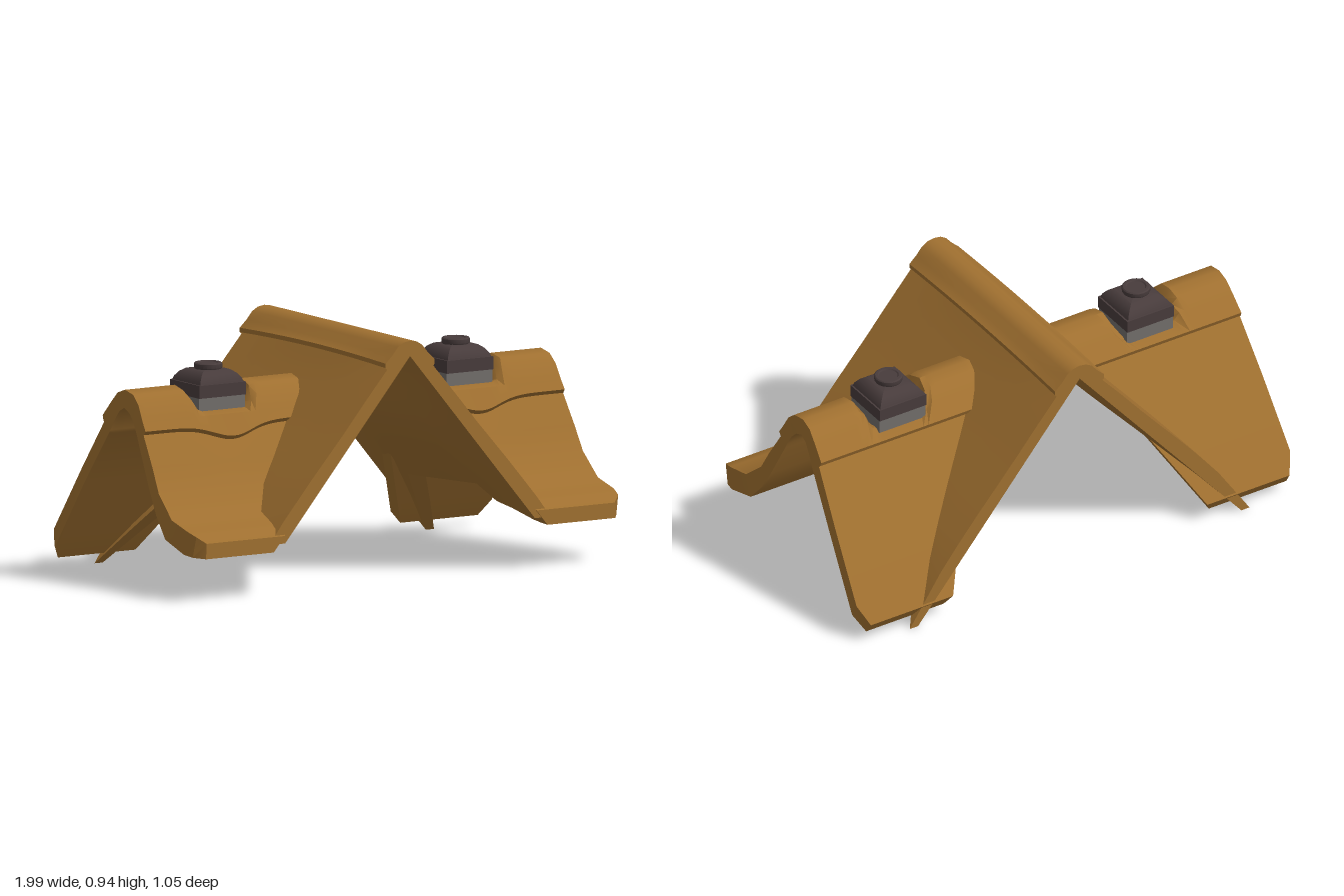
import * as THREE from 'three';
import { toCreasedNormals } from 'three/addons/utils/BufferGeometryUtils.js';

const roofMat = new THREE.MeshStandardMaterial({ color: 0xa07030 });
roofMat.name = 'ochre roof';
const darkMat = new THREE.MeshStandardMaterial({ color: 0x483c3c });
darkMat.name = 'dark chimney';
const stoneMat = new THREE.MeshStandardMaterial({ color: 0x726e6a });
stoneMat.name = 'grey stone';

const lerp = THREE.MathUtils.lerp;

// Piecewise linear lookup in [key, value] pairs with rising keys
function lookup(table, k) {
  for (let i = 1; i < table.length; i++) {
    const [k0, v0] = table[i - 1], [k1, v1] = table[i];
    if (k <= k1) return lerp(v0, v1, Math.max(0, (k - k0) / (k1 - k0)));
  }
  return table[table.length - 1][1];
}

// Closed shell from rings of { outer, inner } point rows
function loftShell(rings, crease) {
  const n = rings[0].outer.length, m = n * 2;
  const pos = [], idx = [];
  for (const r of rings) for (const p of [...r.outer, ...r.inner.slice().reverse()]) pos.push(...p);
  for (let k = 0; k < rings.length - 1; k++) {
    for (let i = 0; i < m; i++) {
      const j = (i + 1) % m;
      const a = k * m + i, b = k * m + j, c = b + m, d = a + m;
      idx.push(a, d, c, a, c, b);
    }
  }
  const e = (rings.length - 1) * m;
  for (let i = 0; i < n - 1; i++) {
    const a = i, b = i + 1, c = m - 2 - i, d = m - 1 - i;
    idx.push(a, b, c, a, c, d, e + a, e + c, e + b, e + a, e + d, e + c);
  }
  const g = new THREE.BufferGeometry();
  g.setAttribute('position', new THREE.Float32BufferAttribute(pos, 3));
  g.setIndex(idx);
  return toCreasedNormals(g, crease);
}

function addMesh(parent, geo, mat, name, x = 0, y = 0, z = 0) {
  const mesh = new THREE.Mesh(geo, mat);
  mesh.name = name;
  mesh.position.set(x, y, z);
  parent.add(mesh);
  return mesh;
}

// Main roof: ridge cap with a small lip, slopes cut to a changing eave height
function mainRoofGeometry() {
  const cap = [[0, 0.94], [0.03, 0.935], [0.055, 0.92], [0.08, 0.89], [0.112, 0.86], [0.112, 0.843], [0.098, 0.843]];
  const capUnder = [0.88, 0.875, 0.865, 0.85, 0.81, 0.8, 0.79];
  const slopeX = [[0, 0.775], [0.24, 0.615], [0.43, 0.455], [0.6, 0.305], [0.72, 0.205], [0.843, 0.098]];
  const eave = [[-0.52, 0], [-0.3, 0.265], [0.24, 0.305], [0.3, 0.24], [0.52, 0.2]];
  const steps = 8;
  const rings = [-0.52, -0.41, -0.3, -0.2, -0.1, 0, 0.1, 0.17, 0.24, 0.3, 0.41, 0.52].map((z) => {
    const yb = lookup(eave, z);
    const lift = 0.012 * (1 - (z / 0.52) ** 2);
    const outer = cap.map(([x, y], i) => [x, i > 3 ? y + lift : y, z]);
    const inner = capUnder.map((y) => [0.838 * (0.88 - y), y, z]);
    for (let s = 1; s <= steps; s++) {
      const f = s / steps;
      const yo = lerp(0.843, yb, f), yi = lerp(0.79, yb, f);
      const sag = 0.05 * (1 - (z / 0.52) ** 2) * Math.sin(Math.PI * f);
      outer.push([lookup(slopeX, yo), yo, z]);
      inner.push([0.838 * (0.88 - yi) - sag, yi, z]);
    }
    const both = (row) => [...row.slice(1).reverse().map(([x, y, w]) => [-x, y, w]), ...row];
    return { outer: both(outer), inner: both(inner) };
  });
  return loftShell(rings, 0.55);
}

// Side roof: section in [z, y] from front eave over the ridge to the back eave
function sideRoofGeometry() {
  const outer = [[0.524, 0.23], [0.5, 0.255], [0.45, 0.272], [0.34, 0.3], [0.24, 0.39], [0.19, 0.48],
    [0.115, 0.6], [0.128, 0.615], [0.105, 0.65], [0.07, 0.71], [0.03, 0.745], [-0.03, 0.757],
    [-0.08, 0.74], [-0.12, 0.7], [-0.175, 0.64], [-0.168, 0.622], [-0.155, 0.625], [-0.3, 0.415],
    [-0.475, 0.158], [-0.524, 0.085]];
  const inner = [[0.524, 0.17], [0.48, 0.173], [0.434, 0.18], [0.3, 0.22], [0.228, 0.304], [0.17, 0.4],
    [0.09, 0.55], [0.085, 0.56], [0.07, 0.59], [0.04, 0.64], [0.01, 0.67], [-0.028, 0.687],
    [-0.06, 0.67], [-0.09, 0.63], [-0.115, 0.59], [-0.12, 0.58], [-0.125, 0.575], [-0.27, 0.37],
    [-0.45, 0.105], [-0.495, 0.042]];
  const last = outer.length - 1;
  const corner = { 0: 0.045, 1: 0.012, [last - 1]: 0.005, [last]: 0.045 };
  const point = ([z, y], i, t, saddle) => {
    const back = 0.2 + (0.74 - y) * 0.58;
    const xIn = z > 0 ? Math.max(back, 0.838 * (0.88 - y) + 0.03) : back;
    const xOut = 0.95 + (0.75 - y) * (z > 0 ? 0.05 : 0.075) - (corner[i] || 0);
    const x = lerp(xIn, xOut, t), d = Math.abs(x - 0.565);
    // Hollow under the chimney, and a rounded sag in the front lip
    const hollow = THREE.MathUtils.clamp((0.145 - d) / 0.035, 0, 1);
    const bulge = Math.exp(-((d / 0.12) ** 2));
    let yy = y, zz = z;
    if (i >= 8 && i <= 13) yy = lerp(y, Math.min(y, saddle), hollow);
    if (i === 6 || i === 7) { yy -= 0.045 * bulge; zz += 0.024 * bulge; }
    return [x, yy, zz];
  };
  const rings = [];
  for (let k = 0; k <= 30; k++) {
    const t = k / 30;
    rings.push({
      outer: outer.map((p, i) => point(p, i, t, 0.66)),
      inner: inner.map((p, i) => point(p, i, t, 0.6)),
    });
  }
  return loftShell(rings, 0.55);
}

// Square chimney: stone base, dark block, curved square hood and round cap
function createChimney() {
  const g = new THREE.Group();
  g.name = 'chimney';
  addMesh(g, new THREE.BoxGeometry(0.21, 0.07, 0.2), stoneMat, 'chimneyBase', 0, 0.68, 0);
  addMesh(g, new THREE.BoxGeometry(0.212, 0.05, 0.21), darkMat, 'chimneyBlock', 0, 0.735, 0);
  const hood = [[0.1, 0.758], [0.094, 0.775], [0.08, 0.793], [0.062, 0.806], [0.001, 0.812]]
    .map(([r, y]) => new THREE.Vector2(r * Math.SQRT2, y));
  addMesh(g, toCreasedNormals(new THREE.LatheGeometry(hood, 4, Math.PI / 4), 0.6), darkMat, 'chimneyHood');
  const cap = [[0.045, 0.795], [0.055, 0.812], [0.055, 0.827], [0.051, 0.831], [0.04, 0.831], [0.036, 0.827], [0.0005, 0.827]]
    .map(([r, y]) => new THREE.Vector2(r, y));
  addMesh(g, toCreasedNormals(new THREE.LatheGeometry(cap, 20), 0.6), darkMat, 'chimneyCap');
  g.position.set(0.565, 0, -0.038);
  return g;
}

export function createModel() {
  const model = new THREE.Group();
  model.name = 'crossedRoof';
  addMesh(model, mainRoofGeometry(), roofMat, 'mainRoof');
  const sideGeo = sideRoofGeometry();
  for (const s of [1, -1]) {
    const wing = new THREE.Group();
    wing.name = s > 0 ? 'leftWing' : 'rightWing';
    addMesh(wing, sideGeo, roofMat, 'sideRoof');
    wing.add(createChimney());
    wing.scale.x = s;
    model.add(wing);
  }
  return model;
}
